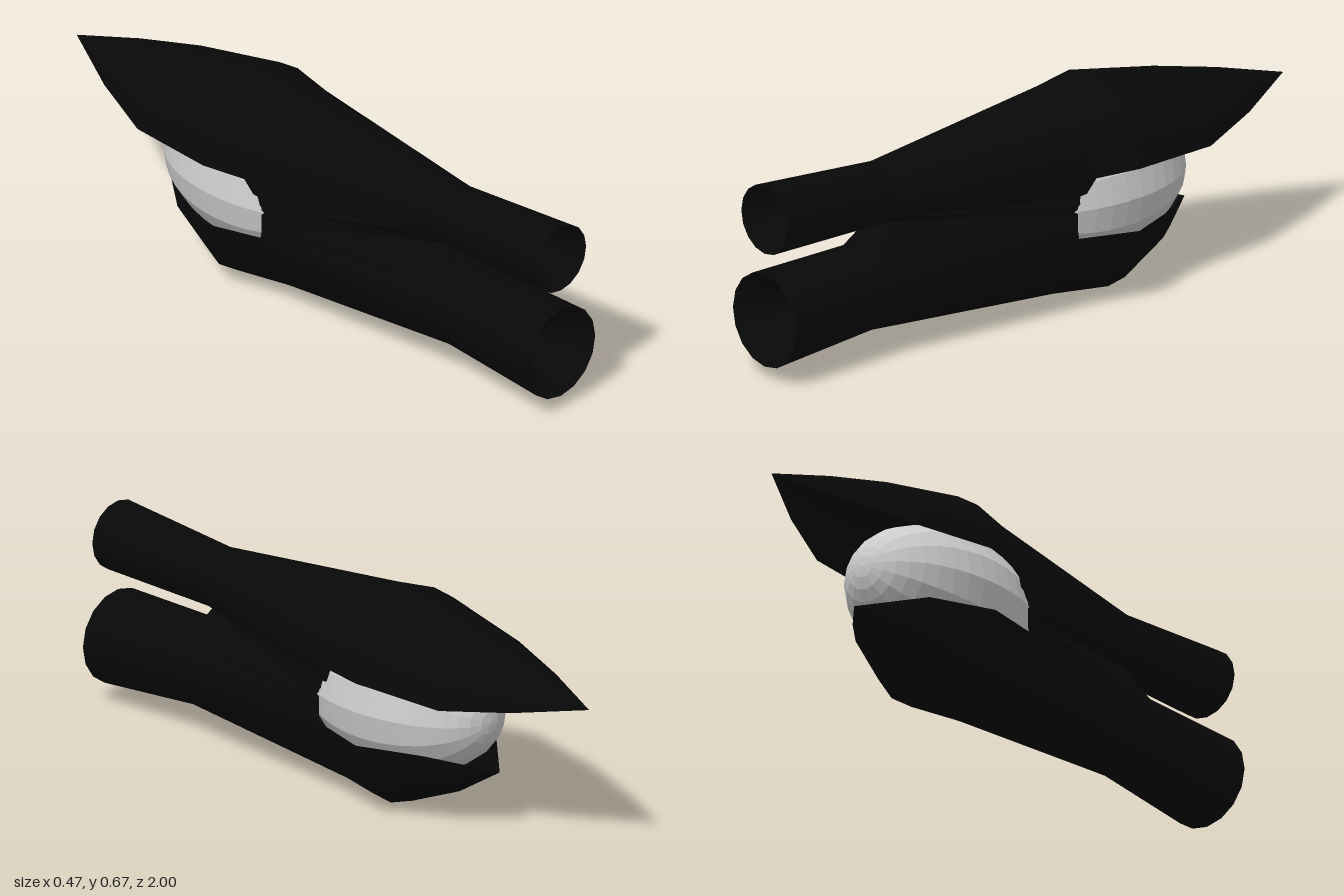
import * as THREE from 'three';

const dark = new THREE.MeshStandardMaterial({ color: 0x080808, flatShading: true, side: THREE.DoubleSide });
const grey = new THREE.MeshStandardMaterial({ color: 0xcccccc, flatShading: true });

// Point k (of 16) on an ellipse, counted from the top towards +x
const onRing = (k, y, w, h, z) => {
  const a = (k * Math.PI) / 8;
  return new THREE.Vector3(w * Math.sin(a), y + h * Math.cos(a), z);
};
const arc = (from, to, y, w, h, z) =>
  Array.from({ length: to - from + 1 }, (_, i) => onRing(from + i, y, w, h, z));
const mirror = (p) => new THREE.Vector3(-p.x, p.y, p.z);

// Skin over rows of points, all rows of the same length
function loft(name, rows) {
  const n = rows[0].length;
  const index = [];
  for (let r = 0; r < rows.length - 1; r++) {
    for (let i = 0; i < n - 1; i++) {
      const a = r * n + i;
      const b = a + n;
      index.push(a, a + 1, b, a + 1, b + 1, b);
    }
  }
  const geometry = new THREE.BufferGeometry().setFromPoints(rows.flat());
  geometry.setIndex(index);
  geometry.computeVertexNormals();
  const mesh = new THREE.Mesh(geometry, dark);
  mesh.name = name;
  return mesh;
}

// Closed ring from a half outline running top to bottom on the +x side
const closeRing = (half) => [...half, ...half.slice(0, -1).reverse().map(mirror)];

// Open pipe with a hollow, cone-shaped inside
function pipe(name, front, back) {
  const group = new THREE.Group();
  group.name = name;
  const ring = ({ y, r, z }) => arc(0, 16, y, r, r, z);
  group.add(loft(name + 'Wall', [ring(front), ring(back)]));
  group.add(loft(name + 'Hollow', [ring(front), ring({ y: front.y, r: 0, z: front.z - 0.18 })]));
  return group;
}

export function createModel() {
  const model = new THREE.Group();

  // Two pipes at the front
  const top = { y: 0.492, r: 0.094, z: 0.56 };
  const low = { y: 0.207, r: 0.133, z: 0.63 };
  model.add(pipe('upperPipe', { y: 0.51, r: 0.108, z: 1 }, top));
  model.add(pipe('lowerPipe', { y: 0.19, r: 0.147, z: 1 }, low));

  // Neck: pinched outline at the pipes, tall rounded outline at the jaws
  const upperRoot = [0.43, 0.205, 0.225, -0.11];
  const lowerRoot = [0.25, 0.197, 0.228, -0.05];
  const pinched = [
    ...arc(0, 7, top.y, top.r, top.r, top.z),
    ...arc(2, 8, low.y, low.r, low.r, low.z),
  ];
  const sides = [0.38, 0.35, 0.32, 0.295, 0.27].map(
    (y, i) => new THREE.Vector3(0.193, y, i === 0 ? -0.08 : -0.05));
  const tall = [...arc(0, 4, ...upperRoot), ...sides, ...arc(4, 8, ...lowerRoot)];
  model.add(loft('neck', [closeRing(pinched), closeRing(tall)]));

  // Web closing the neck between the pipes
  model.add(loft('pipeWeb', [
    [-2, -1, 0, 1, 2].map((k) => onRing(k, low.y, low.r, low.r, low.z)),
    [9, 8, 8, 8, 7].map((k) => onRing(k, top.y, top.r, top.r, top.z)),
  ]));

  // Jaws: half shells given as [lip y, half width, depth, z]
  const upperJaw = [
    upperRoot,
    [0.435, 0.237, 0.237, -0.25],
    [0.42, 0.195, 0.19, -0.56],
    [0.45, 0.11, 0.105, -0.78],
    [0.49, 0, 0, -1],
  ];
  const lowerJaw = [
    lowerRoot,
    [0.238, 0.237, 0.237, -0.25],
    [0.235, 0.15, 0.15, -0.45],
    [0.19, 0, 0, -0.62],
  ];
  model.add(loft('upperJaw', upperJaw.map((s) => arc(-4, 4, ...s))));
  model.add(loft('lowerJaw', lowerJaw.map((s) => arc(4, 12, ...s))));

  // Long rounded core held between the jaws
  const core = new THREE.Mesh(new THREE.SphereGeometry(1, 16, 20).rotateX(Math.PI / 2), grey);
  core.name = 'core';
  core.geometry.scale(0.222, 0.222, 0.36);
  core.position.set(0, 0.335, -0.222);
  model.add(core);

  return model;
}
